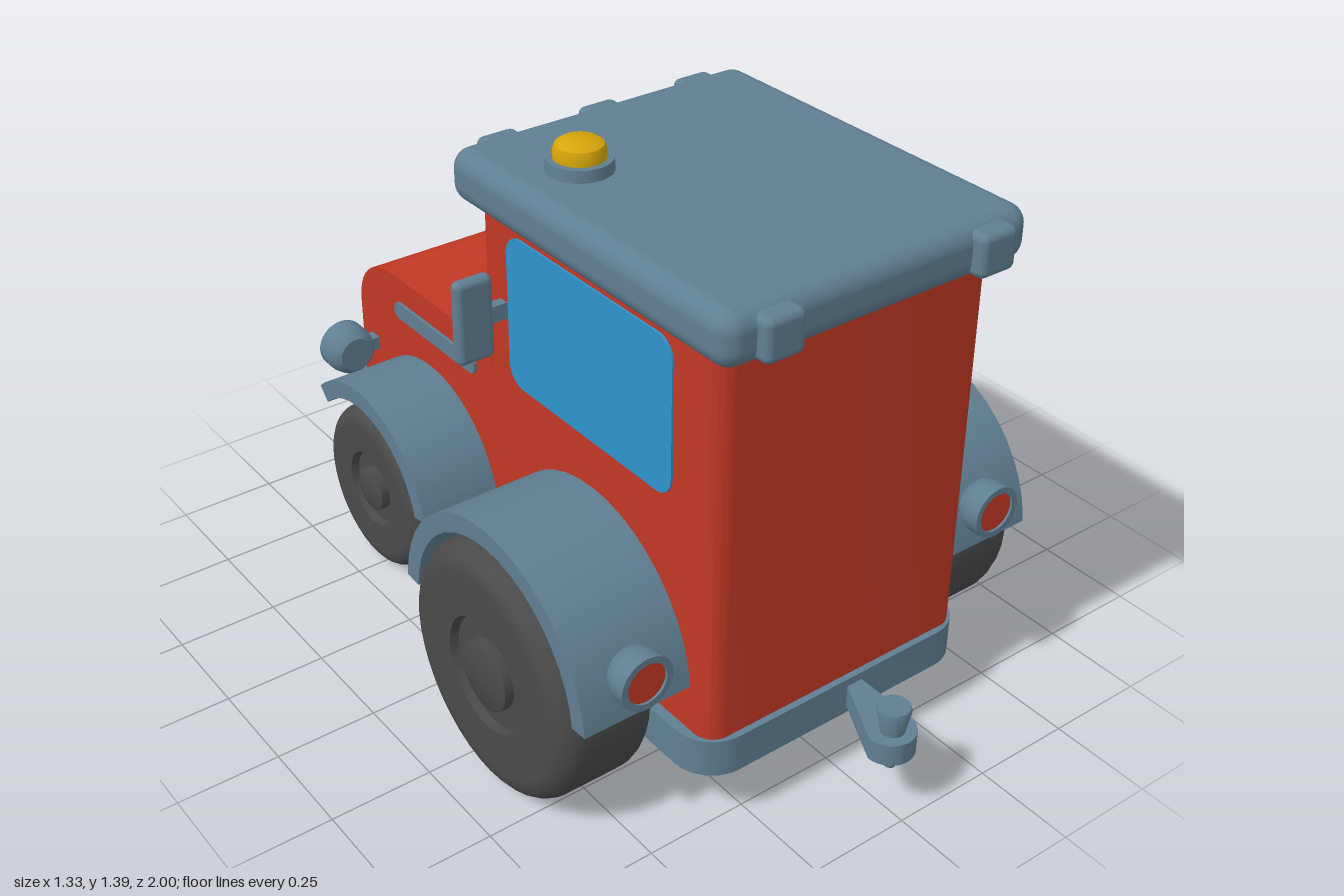
import * as THREE from 'three';
import { toCreasedNormals } from 'three/addons/utils/BufferGeometryUtils.js';
import { RoundedBoxGeometry } from 'three/addons/geometries/RoundedBoxGeometry.js';

const mat = (name, color) => {
  const m = new THREE.MeshStandardMaterial({ color });
  m.name = name;
  return m;
};

// Rounded rectangle outline centred on the origin
function roundRect(w, h, r) {
  const s = new THREE.Shape(), x = w / 2, y = h / 2;
  s.absarc(x - r, y - r, r, 0, Math.PI / 2);
  s.absarc(-x + r, y - r, r, Math.PI / 2, Math.PI);
  s.absarc(-x + r, -y + r, r, Math.PI, Math.PI * 1.5);
  s.absarc(x - r, -y + r, r, Math.PI * 1.5, Math.PI * 2);
  s.closePath();
  return s;
}

const crease = (g) => toCreasedNormals(g, 0.6);
const extrude = (shape, depth) =>
  crease(new THREE.ExtrudeGeometry(shape, { depth, bevelEnabled: false, curveSegments: 10 }).translate(0, 0, -depth / 2));
// Side profile (u = -z, v = y) extruded along x, centred on x
const sideways = (shape, width) => extrude(shape, width).rotateY(Math.PI / 2);
// Plan outline extruded upwards, centred on y
const upright = (shape, height) => extrude(shape, height).rotateX(-Math.PI / 2);
const lathe = (pts, seg = 32) =>
  crease(new THREE.LatheGeometry(pts.map(([x, y]) => new THREE.Vector2(x, y)), seg));

// Mudguard arch between two angles
function arch(rOut, rIn, a0, a1) {
  const s = new THREE.Shape();
  s.absarc(0, 0, rOut, a0, a1, false);
  s.absarc(0, 0, rIn, a1, a0, true);
  s.closePath();
  return s;
}

// Tyre with rounded shoulders, dished hub and centre cap; outer face towards +y
function wheelGeometry(R, w, hub, cap, r) {
  const pts = [[0, -w]];
  for (let i = 0; i <= 6; i++) {
    const a = -Math.PI / 2 + (i / 6) * Math.PI / 2;
    pts.push([R - r + r * Math.cos(a), -w + r + r * Math.sin(a)]);
  }
  for (let i = 0; i <= 6; i++) {
    const a = (i / 6) * Math.PI / 2;
    pts.push([R - r + r * Math.cos(a), w - r + r * Math.sin(a)]);
  }
  pts.push([hub + 0.005, w - 0.005], [hub, w - 0.025], [cap, w - 0.025], [cap, w - 0.003], [cap - 0.01, w + 0.002], [0, w + 0.002]);
  return lathe(pts, 40);
}

export function createModel() {
  const red = mat('red paint', 0xc23825);
  const slate = mat('slate trim', 0x607f92);
  const glass = mat('blue glass', 0x2f95cd);
  const rubber = mat('dark rubber', 0x4a4a4a);
  const amber = mat('amber lamp', 0xd6a50a);

  const model = new THREE.Group();
  model.name = 'tractor';
  const add = (name, geo, m, x = 0, y = 0, z = 0) => {
    const mesh = new THREE.Mesh(geo, m);
    mesh.name = name;
    mesh.position.set(x, y, z);
    model.add(mesh);
    return mesh;
  };

  // Cab and chassis
  add('cab', upright(roundRect(0.73, 0.835, 0.05), 0.97), red, 0, 0.725, 0.352);
  add('cabBase', upright(roundRect(0.78, 0.88, 0.1), 0.095), slate, 0, 0.2, 0.345);
  add('hoodBase', new THREE.BoxGeometry(0.49, 0.075, 0.85), slate, 0, 0.197, -0.455);

  // Hood with rounded nose
  const nose = new THREE.Shape();
  nose.moveTo(0.03, 0.23);
  nose.lineTo(0.865, 0.23);
  nose.lineTo(0.865, 0.56);
  nose.bezierCurveTo(0.865, 0.65, 0.79, 0.71, 0.7, 0.71);
  nose.lineTo(0.03, 0.71);
  nose.closePath();
  add('hood', sideways(nose, 0.476), red);

  // Grille bars
  for (const y of [0.53, 0.455])
    add('grilleBar', extrude(roundRect(0.36, 0.04, 0.015), 0.03), slate, 0, y, -0.862);

  // Roof and its work lamps
  add('roof', new RoundedBoxGeometry(0.8, 0.125, 0.95, 5, 0.045), slate, -0.005, 1.26, 0.36);
  for (const x of [-0.28, 0.275])
    add('rearRoofLamp', new RoundedBoxGeometry(0.1, 0.1, 0.07, 3, 0.018), slate, x, 1.26, 0.83);
  for (const x of [-0.27, 0, 0.27])
    add('frontRoofLamp', new RoundedBoxGeometry(0.1, 0.1, 0.07, 3, 0.018), slate, x, 1.265, -0.1);

  // Beacon
  add('beaconBase', new THREE.CylinderGeometry(0.073, 0.075, 0.035, 32), slate, -0.24, 1.333, 0.15);
  add('beacon', lathe([[0.058, 0], [0.058, 0.02], [0.053, 0.034], [0.04, 0.042], [0, 0.044]]), amber, -0.24, 1.347, 0.15);

  // Windscreen
  add('windscreen', extrude(roundRect(0.58, 0.37, 0.05), 0.008), glass, 0, 0.99, -0.066);

  // Parts mirrored on both sides
  const rearWheel = wheelGeometry(0.304, 0.128, 0.134, 0.085, 0.06);
  const frontWheel = wheelGeometry(0.22, 0.092, 0.096, 0.058, 0.045);
  const rearArch = sideways(arch(0.348, 0.302, 0.09, Math.PI - 0.09), 0.28);
  const frontArch = sideways(arch(0.297, 0.25, 0.82, 2.92), 0.215);
  const cup = lathe([[0, -0.04], [0.045, -0.04], [0.06, -0.025], [0.066, 0], [0.066, 0.038], [0.05, 0.038], [0.05, 0.026], [0, 0.026]]);
  const axle = new THREE.CylinderGeometry(0.05, 0.05, 0.3, 20).rotateZ(Math.PI / 2);
  for (const s of [1, -1]) {
    add('sideWindow', sideways(roundRect(0.58, 0.37, 0.05), 0.008), glass, s * 0.366, 0.99, 0.345);

    add('rearWheel', rearWheel, rubber, s * 0.537, 0.312, 0.36).rotation.z = -s * Math.PI / 2;
    add('frontWheel', frontWheel, rubber, s * 0.347, 0.222, -0.522).rotation.z = -s * Math.PI / 2;
    add('rearAxle', axle, slate, s * 0.3, 0.312, 0.36);
    add('frontAxle', axle, slate, s * 0.15, 0.222, -0.522);
    add('rearFender', rearArch, slate, s * 0.498, 0.335, 0.358);
    add('frontFender', frontArch, slate, s * 0.342, 0.222, -0.522);

    // Tail lamp facing +z with a red lens
    add('tailLampHousing', cup, slate, s * 0.503, 0.465, 0.7).rotation.x = Math.PI / 2;
    add('tailLampLens', new THREE.CylinderGeometry(0.05, 0.05, 0.008, 28).rotateX(Math.PI / 2), red, s * 0.503, 0.465, 0.728);

    // Headlamp facing -z on a short bracket
    add('headlamp', cup, slate, s * 0.318, 0.465, -0.803).rotation.x = -Math.PI / 2;
    add('headlampBracket', new THREE.BoxGeometry(0.06, 0.035, 0.035), slate, s * 0.25, 0.465, -0.8);

    // Mirror
    add('mirror', new RoundedBoxGeometry(0.095, 0.205, 0.035, 4, 0.016), slate, s * 0.447, 0.978, 0.033);
    add('mirrorArm', new THREE.BoxGeometry(0.06, 0.04, 0.025), slate, s * 0.38, 0.978, 0.033);

    // Hood side vent
    add('hoodVent', sideways(roundRect(0.375, 0.044, 0.02), 0.03), slate, s * 0.232, 0.622, -0.487);
  }

  // Exhaust
  const P = (x, y) => new THREE.Vector3(x, y, -0.185);
  const path = new THREE.CurvePath();
  path.add(new THREE.LineCurve3(P(0.21, 0.63), P(0.255, 0.63)));
  path.add(new THREE.QuadraticBezierCurve3(P(0.255, 0.63), P(0.295, 0.63), P(0.295, 0.68)));
  path.add(new THREE.LineCurve3(P(0.295, 0.68), P(0.295, 1.1)));
  path.add(new THREE.QuadraticBezierCurve3(P(0.295, 1.1), P(0.295, 1.155), P(0.335, 1.18)));
  path.add(new THREE.LineCurve3(P(0.335, 1.18), P(0.413, 1.229)));
  add('exhaustPipe', new THREE.TubeGeometry(path, 60, 0.036, 18), slate);
  const cap = add('exhaustCap', new THREE.CircleGeometry(0.036, 18), slate, 0.412, 1.228, -0.185);
  cap.lookAt(0.412 + 0.85, 1.228 + 0.53, -0.185);
  add('muffler', lathe([[0.035, -0.15], [0.05, -0.115], [0.05, 0.115], [0.035, 0.15]], 24), slate, 0.295, 0.873, -0.185);

  // Front bumper and stacked weights
  add('bumper', new RoundedBoxGeometry(0.49, 0.13, 0.07, 4, 0.025), slate, 0, 0.295, -0.892);
  for (let i = -2; i <= 2; i++) {
    const d = i % 2 ? 0.012 : 0;
    add('frontWeight', sideways(roundRect(0.14 - d, 0.168 - 2 * d, 0.05), 0.046), slate, i * 0.048, 0.297, -0.93 + d / 2);
  }
  add('weightCore', sideways(roundRect(0.11, 0.13, 0.04), 0.235), slate, 0, 0.297, -0.92);

  // Tow hitch with tapered pin
  const bar = new THREE.Shape();
  bar.moveTo(-0.06, 0.24);
  bar.absarc(0, 0, 0.06, Math.PI, Math.PI * 2, false);
  bar.lineTo(0.06, 0.24);
  bar.closePath();
  add('hitchBar', upright(bar, 0.055), slate, 0, 0.2, 0.94);
  add('hitchPin', lathe([[0, 0.13], [0.014, 0.13], [0.025, 0.175], [0.028, 0.23], [0.039, 0.285], [0.036, 0.294], [0, 0.294]], 24), slate, 0, 0, 0.948);

  return model;
}
